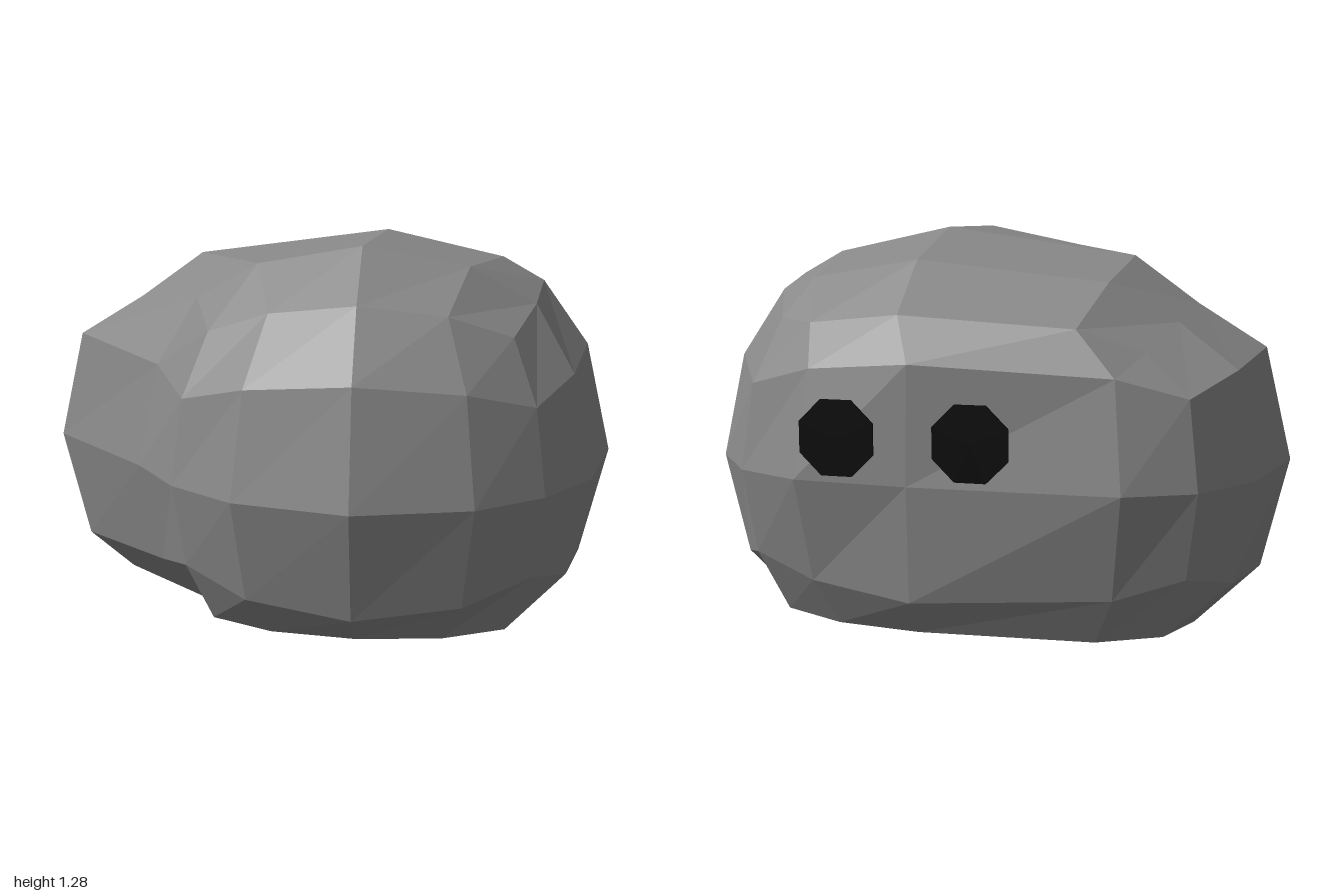
import * as THREE from 'three';

const grey = new THREE.MeshStandardMaterial({ color: 0x888888, flatShading: true });
grey.name = 'stoneGrey';
const black = new THREE.MeshStandardMaterial({ color: 0x080808, flatShading: true });
black.name = 'eyeBlack';

const RADIUS = 0.855;
const CENTRE = new THREE.Vector3(0.14, 0.51, -0.04);

// Places one point of a cube grid (coordinates -1, -0.5, 0, 0.5, 1) on the body
function shapePoint(p) {
  const { x: i, y: j, z: k } = p;
  p.normalize().multiplyScalar(RADIUS).add(CENTRE);

  if (k <= 0 && j === 1 && i < 1) {
    // lowered crown towards the back, spread to both sides
    p.y -= 0.08;
    p.x += i < 0 ? -0.22 : i === 0 ? 0.06 : 0.08;
  } else if (k <= 0 && i < 0) {
    // bulge drawn out to the right rear
    p.x -= 0.29;
  }
  // flattened rear face
  if (k === -1 && Math.abs(i) < 1 && Math.abs(j) < 1) {
    p.z += i === 0 && j === 0 ? 0.13 : 0.06;
  }
  // flat underside
  p.y = j === -1 ? Math.min(Math.max(p.y, 0), 0.01) : p.y;
  return p;
}

function makeBody() {
  const geometry = new THREE.BoxGeometry(2, 2, 2, 4, 4, 4);
  const position = geometry.attributes.position;
  const p = new THREE.Vector3();
  for (let n = 0; n < position.count; n++) {
    shapePoint(p.fromBufferAttribute(position, n));
    position.setXYZ(n, p.x, p.y, p.z);
  }
  const flat = geometry.toNonIndexed();
  flat.computeVertexNormals();
  const body = new THREE.Mesh(flat, grey);
  body.name = 'body';
  return body;
}

// Thin octagonal eye just behind the rear face
function makeEye(name, x) {
  const geometry = new THREE.CylinderGeometry(0.13, 0.13, 0.009, 8);
  geometry.rotateY(Math.PI / 8).rotateX(Math.PI / 2);
  const eye = new THREE.Mesh(geometry, black);
  eye.name = name;
  eye.position.set(x, 0.665, -0.808);
  return eye;
}

export function createModel() {
  const model = new THREE.Group();
  model.name = 'roundCreature';
  model.add(makeBody(), makeEye('rightEye', -0.08), makeEye('leftEye', 0.35));
  return model;
}
